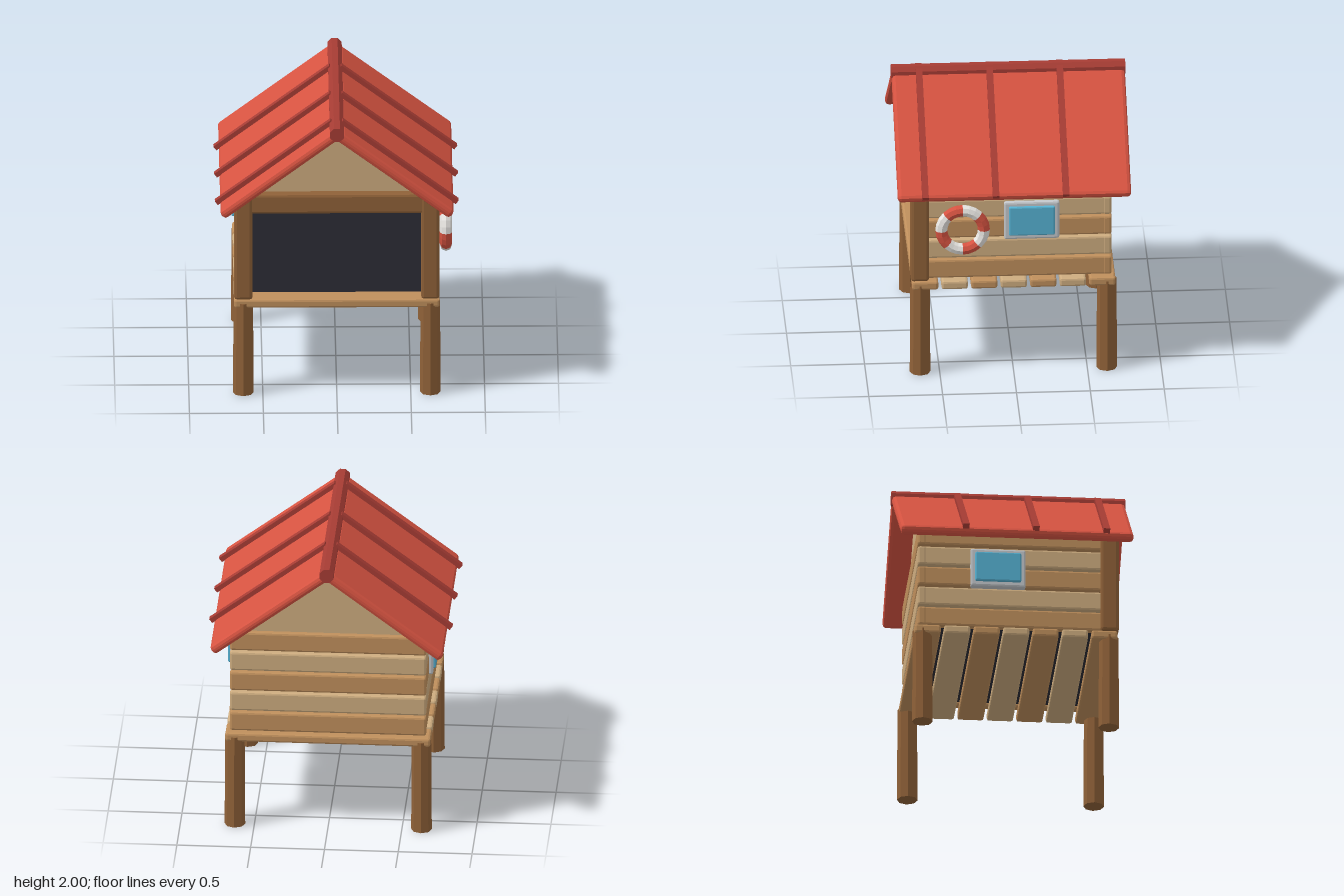
import * as THREE from 'three';
import { RoundedBoxGeometry } from 'three/addons/geometries/RoundedBoxGeometry.js';

export function createModel() {
  const model = new THREE.Group();
  model.name = 'beachHut';

  const material = (name, color) => {
    const m = new THREE.MeshStandardMaterial({ color });
    m.name = name;
    return m;
  };
  const roofRed = material('roofRed', 0xd65341);
  const darkRed = material('darkRed', 0xa63c34);
  const postBrown = material('postBrown', 0x8f6138);
  const plankBrown = material('plankBrown', 0xbf8f5c);
  const plankTan = material('plankTan', 0xcdac7f);
  const darkInside = material('darkInside', 0x2c2c35);
  const frameGrey = material('frameGrey', 0xc4c8cc);
  const glassBlue = material('glassBlue', 0x56b2d3);
  const white = material('white', 0xeae8e4);

  // Faceted mesh: unshared corners give flat normals
  function add(name, geometry, mat, x = 0, y = 0, z = 0) {
    const g = geometry.index ? geometry.toNonIndexed() : geometry;
    g.computeVertexNormals();
    const mesh = new THREE.Mesh(g, mat);
    mesh.name = name;
    mesh.position.set(x, y, z);
    model.add(mesh);
    return mesh;
  }
  const bevelBox = (w, h, d, r = 0.015) => new RoundedBoxGeometry(w, h, d, 1, r);
  const plankColor = (i) => (i % 2 ? plankTan : plankBrown);

  // Legs
  for (const x of [-0.632, 0.632])
    for (const z of [-0.632, 0.632])
      add('leg', new THREE.CylinderGeometry(0.066, 0.07, 0.67, 8), postBrown, x, 0.335, z);

  // Floor boards
  for (let i = 0; i < 7; i++)
    add('floorBoard', bevelBox(1.39, 0.062, 0.178), plankColor(i), 0, 0.668, 0.6 - i * 0.2);

  // Dark interior, showing in the front opening and between planks
  add('interior', new THREE.BoxGeometry(1.23, 0.71, 1.21), darkInside, 0, 1.085, 0.02);

  // Wall planks, sides and back
  for (let i = 0; i < 5; i++) {
    const y = 0.778 + i * 0.15;
    for (const side of [-1, 1])
      add('sidePlank', bevelBox(0.06, 0.138, 1.25), plankColor(i), side * 0.632, y, -0.015);
    add('backPlank', bevelBox(1.33, 0.138, 0.06), plankColor(i), 0, y, -0.635);
  }

  // Front posts and lintel
  for (const side of [-1, 1])
    add('frontPost', bevelBox(0.125, 0.76, 0.125, 0.02), postBrown, side * 0.632, 1.08, 0.635);
  add('lintel', bevelBox(1.2, 0.145, 0.11, 0.02), postBrown, 0, 1.398, 0.635);

  // Gable block under the roof
  const gable = new THREE.Shape();
  gable.moveTo(-0.62, 1.435);
  gable.lineTo(0.62, 1.435);
  gable.lineTo(0, 1.902);
  add('gable', new THREE.ExtrudeGeometry(gable, { depth: 1.26, bevelEnabled: false }), plankTan, 0, 0, -0.63);

  // Roof slopes: s runs down the slope, n is height above the slab's middle
  const angle = 0.647;
  const c = Math.cos(angle), sn = Math.sin(angle);
  function onSlope(name, geometry, mat, side, s, n, z) {
    const mesh = add(name, geometry, mat, side * (s * c + n * sn), 1.94 - s * sn + n * c, z);
    mesh.rotation.z = -side * angle;
  }
  for (const side of [-1, 1]) {
    onSlope('roofSlope', bevelBox(0.96, 0.066, 1.58, 0.025), roofRed, side, 0.495, 0, 0);
    for (const z of [0.605, 0.127, -0.348])
      onSlope('roofBatten', new THREE.BoxGeometry(0.98, 0.034, 0.044), darkRed, side, 0.495, 0.047, z);
  }

  // Ridge pole
  const ridge = new THREE.CylinderGeometry(0.052, 0.052, 1.585, 8);
  ridge.rotateY(Math.PI / 8);
  ridge.rotateX(Math.PI / 2);
  add('ridgePole', ridge, darkRed, 0, 1.948, 0);

  // Side windows
  for (const side of [-1, 1]) {
    add('windowFrame', bevelBox(0.06, 0.28, 0.375, 0.014), frameGrey, side * 0.658, 1.14, -0.122);
    add('windowGlass', bevelBox(0.05, 0.215, 0.312, 0.01), glassBlue, side * 0.68, 1.142, -0.122);
  }

  // Life ring: eight sections in alternating colours
  for (let i = 0; i < 8; i++) {
    const section = new THREE.TorusGeometry(0.144, 0.041, 8, 3, Math.PI / 4);
    section.rotateZ((i * Math.PI) / 4);
    section.rotateY(Math.PI / 2);
    add('lifeRingSection', section, i % 2 ? white : roofRed, 0.74, 1.11, 0.35);
  }

  return model;
}
